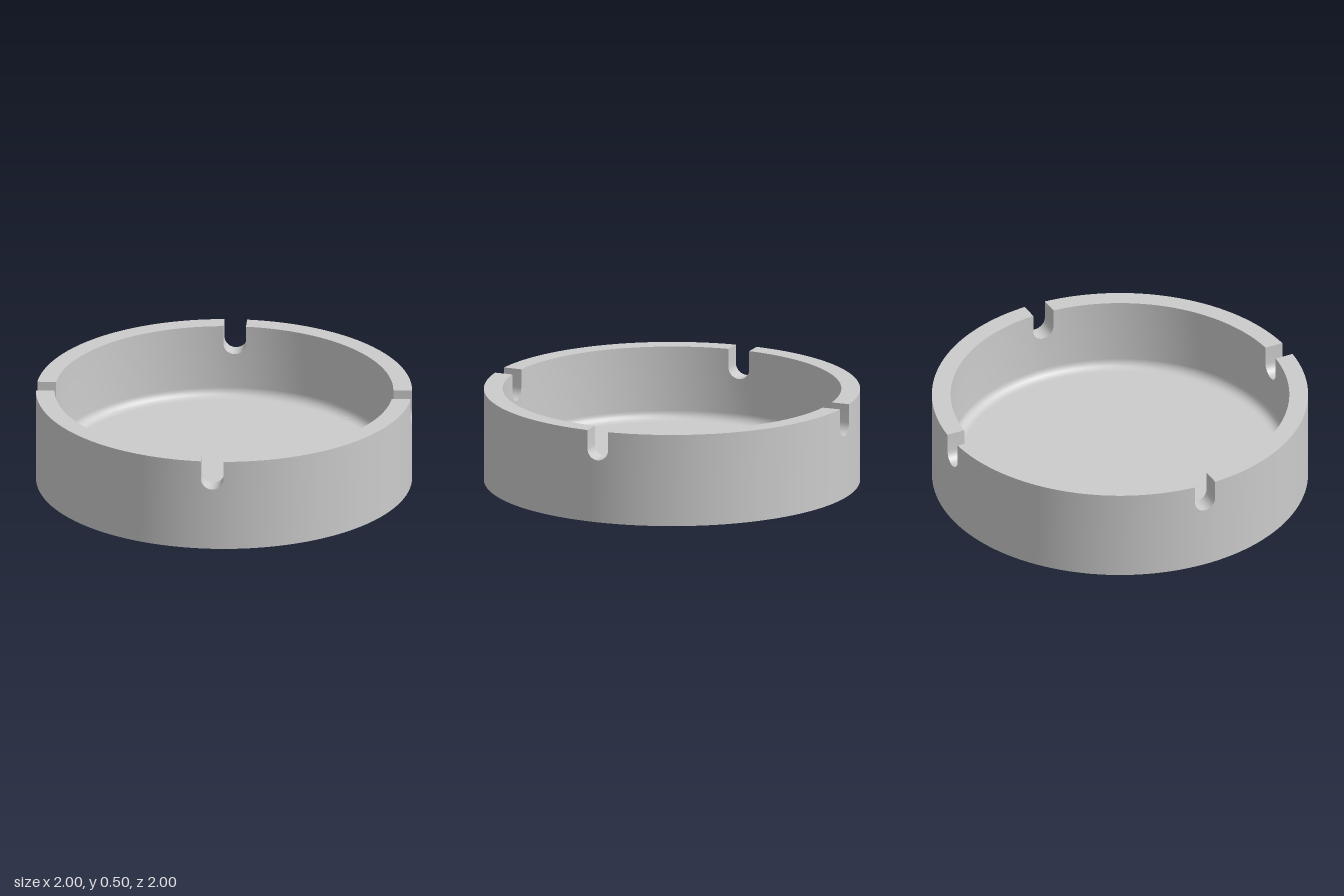
import * as THREE from 'three';
import { toCreasedNormals } from 'three/addons/utils/BufferGeometryUtils.js';

const OUTER = 1, INNER = 0.9, HEIGHT = 0.5, FLOOR = 0.1, FILLET = 0.05;
const NOTCH = 0.06, NOTCH_CENTRE = 0.4; // half width, and height of the round bottom's centre
const NOTCH_STEPS = 16, ARC_STEPS = 24, FILLET_STEPS = 6;

// One quarter of the ring, centred on a notch: each column holds the angle on the
// outer and inner wall, and the height of the wall there.
function quarterColumns(turn) {
  const columns = [];
  const arc = (i, side) => {
    const t = i / ARC_STEPS;
    const at = (r) => turn + side * THREE.MathUtils.lerp(Math.asin(NOTCH / r), Math.PI / 4, t);
    return { outer: at(OUTER), inner: at(INNER), top: HEIGHT };
  };
  for (let i = ARC_STEPS; i >= 0; i--) columns.push(arc(i, -1));
  for (let i = 0; i <= NOTCH_STEPS; i++) {
    const a = Math.PI * i / NOTCH_STEPS;
    const s = -NOTCH * Math.cos(a);
    columns.push({
      outer: turn + Math.asin(s / OUTER),
      inner: turn + Math.asin(s / INNER),
      top: NOTCH_CENTRE - NOTCH * Math.sin(a),
    });
  }
  for (let i = 0; i <= ARC_STEPS; i++) columns.push(arc(i, 1));
  return columns;
}

// Sweeps a profile, given per column as a list of points, around the ring.
function sweep(columns, profile) {
  const positions = [];
  const triangle = (a, b, c) => {
    const area = b.clone().sub(a).cross(c.clone().sub(a)).length();
    if (area > 1e-9) for (const p of [a, b, c]) positions.push(p.x, p.y, p.z);
  };
  const lines = columns.map(profile);
  for (let i = 0; i < lines.length - 1; i++) {
    const a = lines[i], b = lines[i + 1];
    for (let j = 0; j < a.length - 1; j++) {
      triangle(a[j], b[j], b[j + 1]);
      triangle(a[j], b[j + 1], a[j + 1]);
    }
  }
  const geometry = new THREE.BufferGeometry();
  geometry.setAttribute('position', new THREE.Float32BufferAttribute(positions, 3));
  return toCreasedNormals(geometry, Math.PI / 5);
}

const point = (radius, angle, y) =>
  new THREE.Vector3(radius * Math.sin(angle), y, radius * Math.cos(angle));

export function createModel() {
  const group = new THREE.Group();
  group.name = 'ashtray';
  const material = new THREE.MeshStandardMaterial({ color: 0xcccccc });
  const columns = [0, 1, 2, 3].flatMap((q) => quarterColumns(q * Math.PI / 2));

  const add = (name, profile) => {
    const mesh = new THREE.Mesh(sweep(columns, profile), material);
    mesh.name = name;
    group.add(mesh);
  };

  // Flat underside and outer wall
  add('outerShell', (c) => [
    point(0, 0, 0),
    point(OUTER, c.outer, 0),
    point(OUTER, c.outer, c.top),
  ]);

  // Flat rim with four round-bottomed rests
  add('notchedRim', (c) => [
    point(OUTER, c.outer, c.top),
    point(INNER, c.inner, c.top),
  ]);

  // Inner wall, rounded corner and floor; narrow bands keep the flats evenly shaded
  add('bowl', (c) => {
    const line = [point(INNER, c.inner, c.top), point(INNER, c.inner, FLOOR + FILLET + 0.01)];
    for (let i = 0; i <= FILLET_STEPS; i++) {
      const a = (Math.PI / 2) * i / FILLET_STEPS;
      line.push(point(INNER - FILLET + FILLET * Math.cos(a), c.inner, FLOOR + FILLET - FILLET * Math.sin(a)));
    }
    line.push(point(INNER - FILLET - 0.01, c.inner, FLOOR), point(0, 0, FLOOR));
    return line;
  });

  return group;
}
